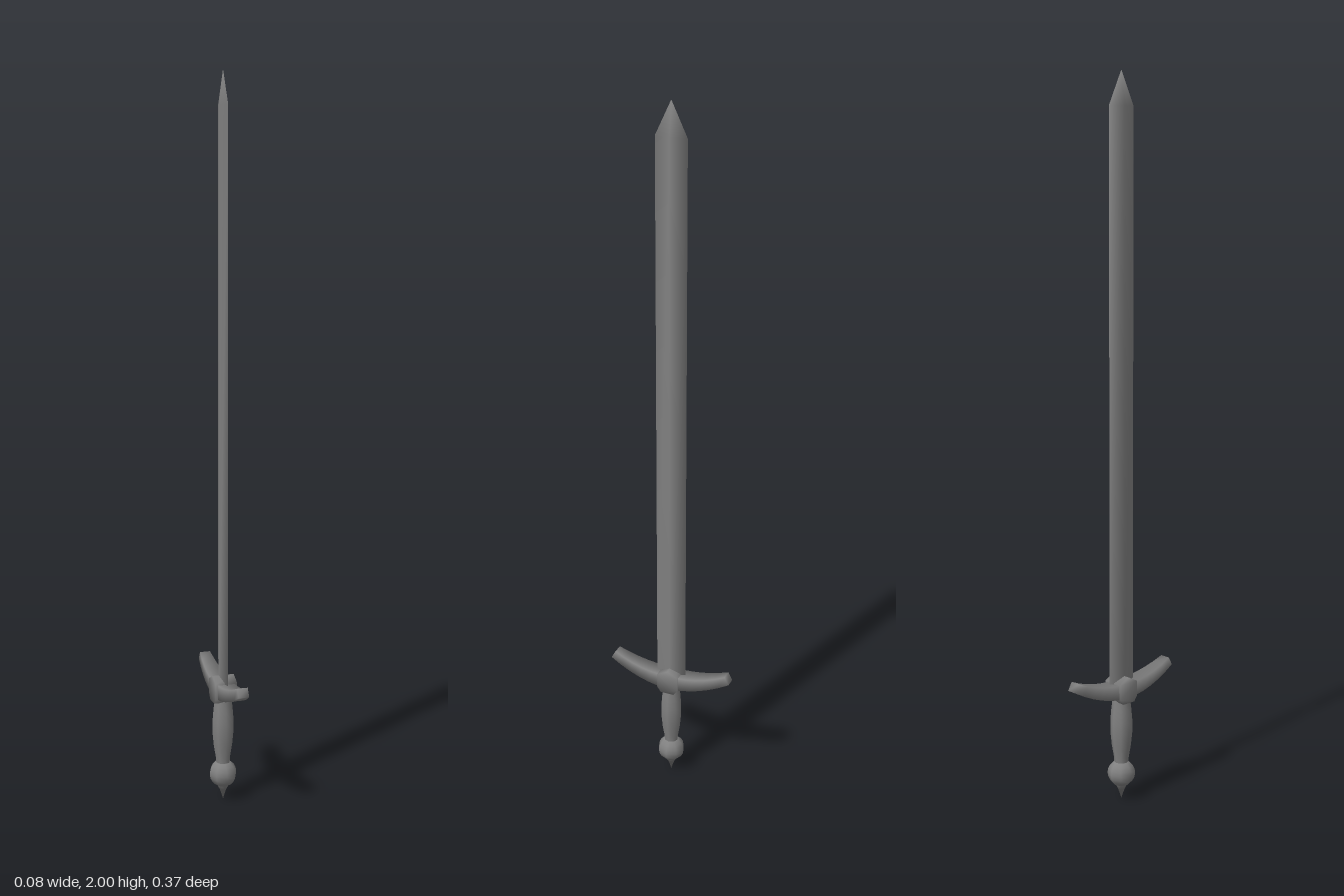
import * as THREE from 'three';
import { toCreasedNormals } from 'three/addons/utils/BufferGeometryUtils.js';

const material = new THREE.MeshStandardMaterial({ color: 0x808080 });
const SIDES = 8;

// Every part is shaded smoothly across all its edges
function part(name, geometry) {
  const mesh = new THREE.Mesh(toCreasedNormals(geometry, Math.PI), material);
  mesh.name = name;
  return mesh;
}

// Turned part from [radius, height] pairs, bottom to top
function turned(name, profile) {
  return part(name, new THREE.LatheGeometry(profile.map(([r, y]) => new THREE.Vector2(r, y)), SIDES));
}

// Diamond-section blade tapering to a point
function blade() {
  const geometry = new THREE.CylinderGeometry(1, 1, 1, 4, 2, true);
  const p = geometry.attributes.position;
  const heights = [0.31, 1.91, 2.0];
  const widths = [1, 1, 0.02];
  for (let i = 0; i < p.count; i++) {
    const row = Math.round((p.getY(i) + 0.5) * 2);
    p.setXYZ(i, p.getX(i) * 0.0125 * widths[row], heights[row], p.getZ(i) * 0.044 * widths[row]);
  }
  return part('blade', geometry);
}

// Guard: a tapered rectangular bar bent upwards at both ends
function guard() {
  const geometry = new THREE.BoxGeometry(2, 2, 2, 1, 1, 12);
  const p = geometry.attributes.position;
  for (let i = 0; i < p.count; i++) {
    const t = p.getZ(i), a = Math.abs(t);
    const slope = Math.atan(0.56 * t);
    const offset = p.getY(i) * (0.022 - 0.009 * a);
    p.setXYZ(i, p.getX(i) * (0.025 - 0.01 * a * a),
      0.322 + 0.046 * t * t + offset * Math.cos(slope),
      0.177 * t - offset * Math.sin(slope));
  }
  return part('guard', geometry);
}

// Faceted block where blade, guard and grip meet
function guardBlock() {
  const outline = [[0, 0.363], [0.031, 0.347], [0.031, 0.304], [0.02, 0.289],
    [-0.02, 0.289], [-0.031, 0.304], [-0.031, 0.347]];
  const shape = new THREE.Shape(outline.map(([z, y]) => new THREE.Vector2(z, y)));
  const geometry = new THREE.ExtrudeGeometry(shape, { depth: 0.062, bevelEnabled: false });
  geometry.translate(0, 0, -0.031).rotateY(Math.PI / 2);
  return part('guardBlock', geometry);
}

export function createModel() {
  const group = new THREE.Group();
  group.name = 'sword';

  group.add(blade(), guard(), guardBlock());

  // Swelling grip
  group.add(turned('grip', [[0.019, 0.1], [0.021, 0.125], [0.027, 0.16], [0.031, 0.2],
    [0.031, 0.23], [0.028, 0.265], [0.024, 0.3]]));

  // Ball pommel with a small spike below
  const pommel = part('pommel', new THREE.SphereGeometry(0.039, SIDES, 10));
  pommel.position.y = 0.077;
  group.add(pommel);
  group.add(turned('pommelSpike', [[0, 0], [0.005, 0.017], [0.01, 0.03], [0.018, 0.045]]));

  return group;
}
